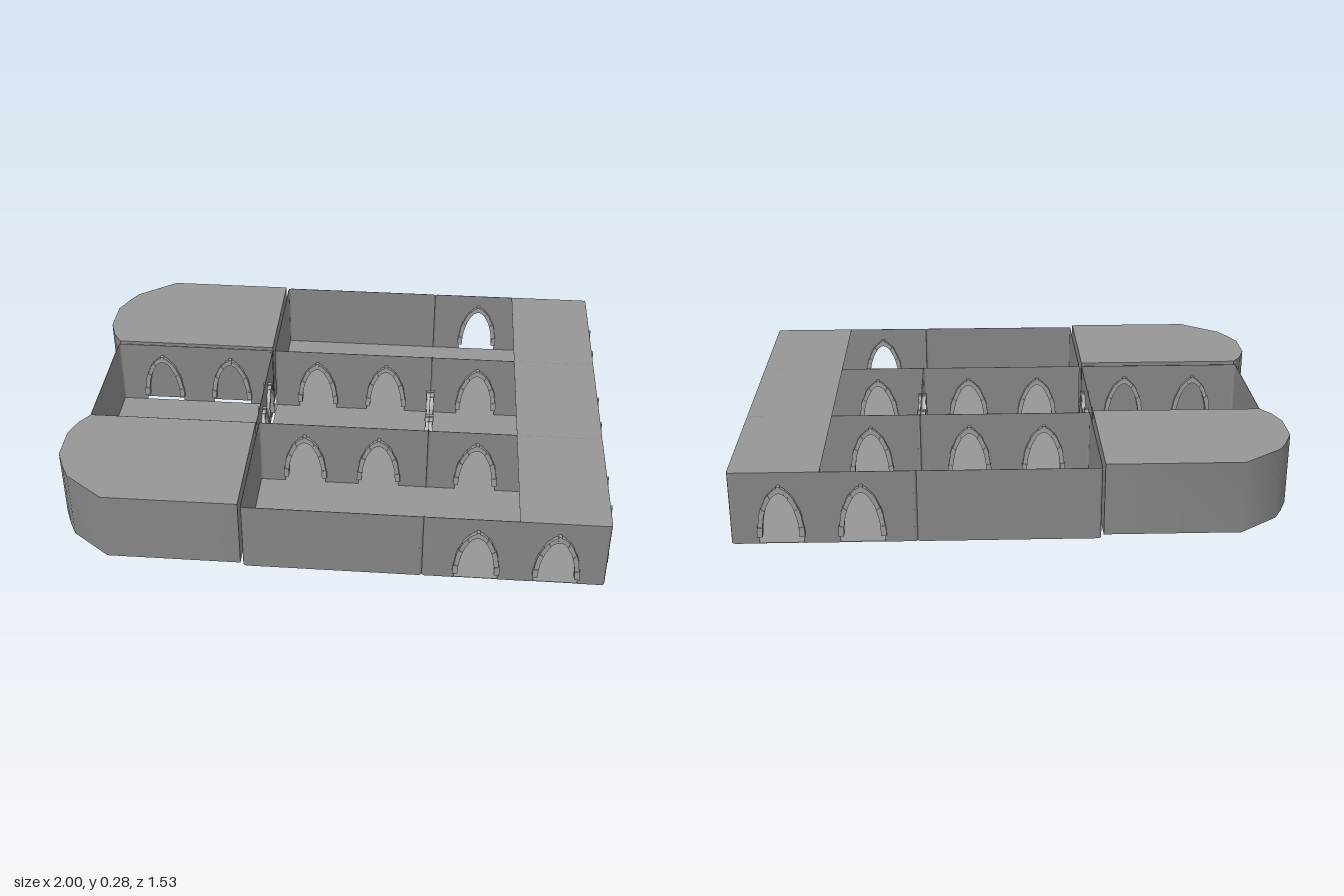
import * as THREE from 'three';
import { toCreasedNormals } from 'three/addons/utils/BufferGeometryUtils.js';

const paint = color => new THREE.MeshStandardMaterial({ color, side: THREE.DoubleSide });
const slabMat = paint(0x959595), wallMat = paint(0x858585), stoneMat = paint(0x9a9a9a);
const H = 0.27, R = 0.01, THIN = 0.002, SPRING = 0.03;

function add(parent, name, geo, mat, x = 0, y = 0, z = 0) {
  const m = new THREE.Mesh(geo, mat);
  m.name = name;
  m.position.set(x, y, z);
  parent.add(m);
  return m;
}

// Slightly pointed arch curve, t from 0 (left springing) to PI (right springing)
function archPoint(t, a, b, cx = 0) {
  const c = Math.cos(t);
  return new THREE.Vector2(cx - a * Math.sign(c) * Math.abs(c) ** 1.15, SPRING + b * Math.sin(t));
}

// Vertical panel centred on its own x axis, with arched openings down to the floor
function panelGeometry(len, centres) {
  const pts = [new THREE.Vector2(-len / 2, 0)];
  for (const c of centres) {
    pts.push(new THREE.Vector2(c - 0.077, 0));
    for (let i = 0; i <= 20; i++) pts.push(archPoint(i / 20 * Math.PI, 0.077, 0.179, c));
    pts.push(new THREE.Vector2(c + 0.077, 0));
  }
  pts.push(new THREE.Vector2(len / 2, 0), new THREE.Vector2(len / 2, H), new THREE.Vector2(-len / 2, H));
  return new THREE.ExtrudeGeometry(new THREE.Shape(pts), { depth: THIN, bevelEnabled: false }).translate(0, 0, -THIN / 2);
}

// Wedge stones of the arch surround, alternating in size, with a raised keystone
const N = 15;
const stones = Array.from({ length: N }, (_, i) => {
  const key = i === (N - 1) / 2, big = i % 2 === 0;
  const grow = key ? 0.008 : big ? 0.002 : 0;
  const depth = key ? 0.034 : big ? 0.031 : 0.026;
  const t0 = i / N * Math.PI, t1 = (i + 1) / N * Math.PI, tm = (t0 + t1) / 2;
  const shape = new THREE.Shape([
    archPoint(t0, 0.064, 0.167), archPoint(t0, 0.081 + grow, 0.185 + grow), archPoint(tm, 0.081 + grow, 0.185 + grow),
    archPoint(t1, 0.081 + grow, 0.185 + grow), archPoint(t1, 0.064, 0.167), archPoint(tm, 0.064, 0.167)]);
  return new THREE.ExtrudeGeometry(shape, { depth, bevelEnabled: false }).translate(0, 0, -depth / 2);
});

// Wall between two plan points; it stops short of the rounded tile corners
function wall(parent, name, x0, z0, x1, z1, centres = []) {
  const g = new THREE.Group();
  g.name = name;
  const along = Math.abs(x1 - x0) > Math.abs(z1 - z0);
  const len = Math.hypot(x1 - x0, z1 - z0) - 2 * R;
  g.position.set((x0 + x1) / 2, 0, (z0 + z1) / 2);
  if (!along) g.rotation.y = Math.PI / 2;
  add(g, 'wallPanel', panelGeometry(len, centres), wallMat);
  for (const c of centres) stones.forEach(s => add(g, 'archStone', s, stoneMat, c));
  parent.add(g);
  return g;
}

function roundedRect(x0, z0, x1, z1) {
  const s = new THREE.Shape();
  s.absarc(x1 - R, z1 - R, R, 0, Math.PI / 2);
  s.absarc(x0 + R, z1 - R, R, Math.PI / 2, Math.PI);
  s.absarc(x0 + R, z0 + R, R, Math.PI, Math.PI * 1.5);
  s.absarc(x1 - R, z0 + R, R, Math.PI * 1.5, Math.PI * 2);
  return s;
}

// Plan shape (x, z) raised from y0 to y1, with its rim coloured as a wall
function slab(parent, name, shape, y0, y1) {
  const geo = new THREE.ExtrudeGeometry(shape, { depth: y1 - y0, bevelEnabled: false, curveSegments: 4 });
  geo.rotateX(Math.PI / 2);
  return add(parent, name, toCreasedNormals(geo, 0.7), [slabMat, wallMat], 0, y1, 0);
}

// Floor of one room with rounded upright corners
function tile(parent, x0, z0, x1, z1) {
  slab(parent, 'floor', roundedRect(x0, z0, x1, z1), 0, THIN);
  [[x1 - R, z1 - R], [x1 - R, z0 + R], [x0 + R, z0 + R], [x0 + R, z1 - R]].forEach(([x, z], i) =>
    add(parent, 'roundedCorner',
      new THREE.CylinderGeometry(R, R, H, 4, 1, true, i * Math.PI / 2, Math.PI / 2), wallMat, x, H / 2, z));
}

export function createModel() {
  const model = new THREE.Group();
  model.name = 'arcadedBuilding';
  const X = [-0.945, -0.3, 0.34, 0.985], Z = [-0.75, -0.25, 0.25, 0.75];
  const closePair = [-0.083, 0.083];
  const pairs = [[-0.141, 0.141], [-0.146, 0.136], [-0.136, 0.146]];

  // Room floors
  tile(model, X[0], Z[1], -0.31, Z[2]);
  for (let r = 0; r < 3; r++)
    for (let c = 1; c < 3; c++) tile(model, X[c], Z[r], X[c + 1], Z[r + 1]);

  for (const s of [-1, 1]) {
    // Inner arcades running along the building
    pairs.forEach((p, c) => wall(model, 'innerArcade', X[c], s * 0.25, c ? X[c + 1] : -0.31, s * 0.25, p));
    // Outer long sides: plain in the middle, arched at the right-hand end
    wall(model, 'plainSideWall', X[1], s * 0.75, X[2], s * 0.75);
    wall(model, 'archedSideWall', X[2], s * 0.75, X[3], s * 0.75, [-0.132, 0.149]);
    wall(model, 'crossWall', X[1], s * 0.25, X[1], s * 0.75);

    // Closed end block with a rounded nose
    const outline = [[-0.31, 0.745], [-0.795, 0.745], [-0.94, 0.635], [-0.97, 0.58], [-1, 0.51],
      [-1, 0.38], [-0.975, 0.31], [-0.94, 0.26], [-0.31, 0.26]];
    const plan = new THREE.Shape(outline.map(([x, z]) => new THREE.Vector2(x, s * z + 0.003)));
    slab(model, 'endBlock', plan, 0.01, 0.28);
  }

  // Cross arcades of the central rooms and the plain end wall
  wall(model, 'crossArcade', -0.31, Z[1], -0.31, Z[2], closePair);
  wall(model, 'crossArcade', X[2], Z[1], X[2], Z[2], closePair);
  wall(model, 'plainEndWall', X[0], Z[1], X[0], Z[2]);

  // Arcaded end facade with a pier between the outer pairs
  for (let r = 0; r < 3; r++) {
    const g = wall(model, 'endArcade', X[3], Z[r], X[3], Z[r + 1], closePair);
    if (r !== 1) add(g, 'pier', new THREE.BoxGeometry(0.026, 0.065, 0.014), stoneMat, 0, 0.0625, 0);
  }

  // Flat roof strip over the end gallery
  add(model, 'galleryRoof', new THREE.BoxGeometry(0.315, THIN, 1.5), slabMat, 0.8275, H - THIN / 2, 0);
  return model;
}
